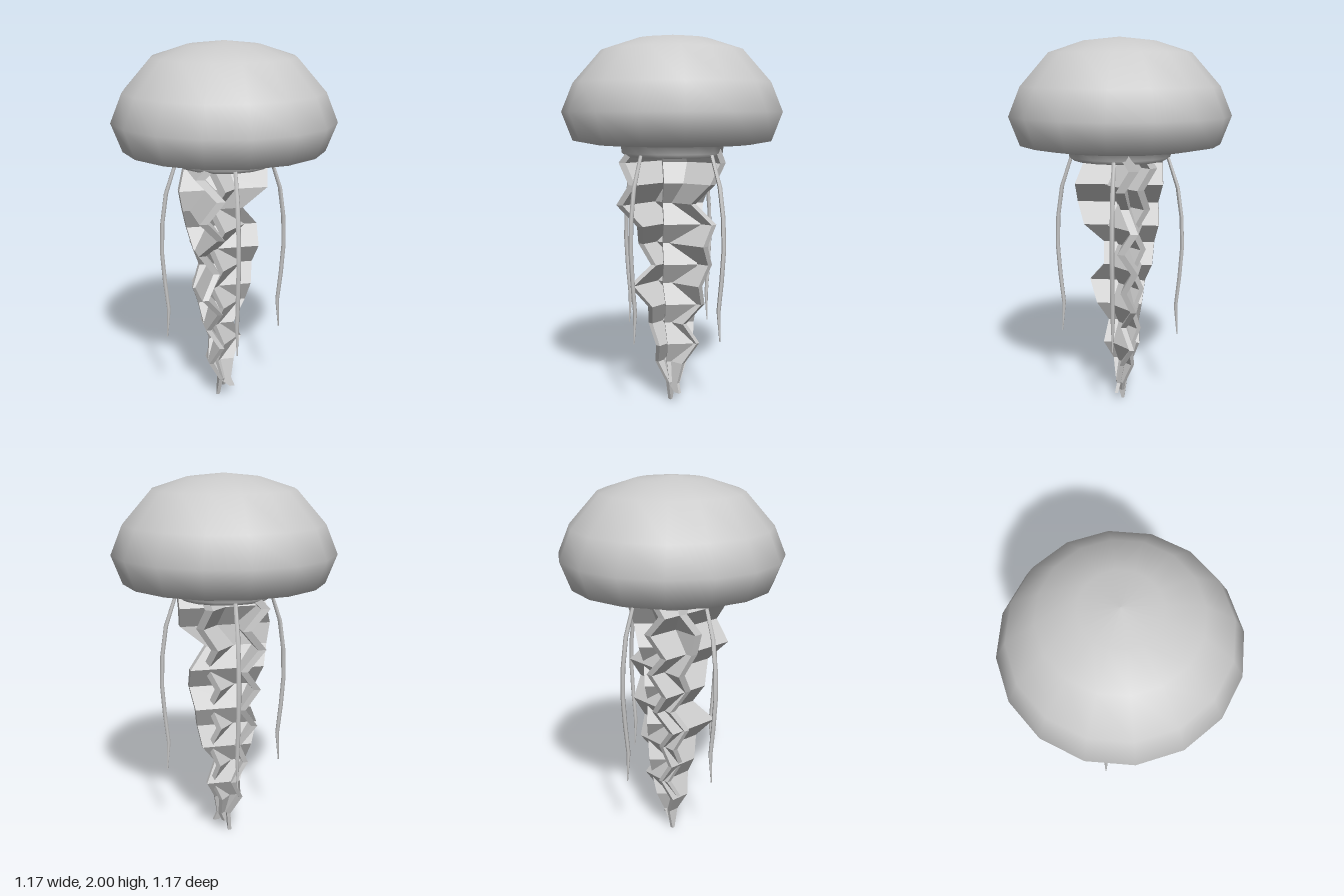
import * as THREE from 'three';

const smooth = new THREE.MeshStandardMaterial({ color: 0xcccccc, side: THREE.DoubleSide });
const faceted = new THREE.MeshStandardMaterial({ color: 0xcccccc, flatShading: true, side: THREE.DoubleSide });

function part(name, geometry, material) {
  const mesh = new THREE.Mesh(geometry, material);
  mesh.name = name;
  return mesh;
}

// Thin tentacle: a column bowed outward along +x, pointed at its lower end
function tentacleGeometry() {
  const bow = [0.258, 0.312, 0.335, 0.34, 0.328, 0.31, 0.32];
  const width = [0.01, 0.012, 0.012, 0.012, 0.012, 0.011, 0.003];
  const top = 1.38, length = 0.98, steps = bow.length - 1;
  const g = new THREE.CylinderGeometry(1, 1, length, 6, steps);
  g.translate(0, top - length / 2, 0);
  const p = g.attributes.position;
  for (let i = 0; i < p.count; i++) {
    const step = Math.round((top - p.getY(i)) / length * steps);
    p.setX(i, p.getX(i) * width[step] + bow[step]);
    p.setZ(i, p.getZ(i) * width[step]);
  }
  g.computeVertexNormals();
  return g;
}

// Zigzag ribbon: one rectangular section per level, spanning from -minus to
// +plus along x and pushed sideways along z by sway
function ribbonGeometry({ plus, minus, sway, tip }) {
  const n = plus.length, pos = [], idx = [];
  for (let i = 0; i < n; i++) {
    const t = i / (n - 1);
    const y = Math.max(tip, 1.444 * (1 - t));
    const half = 0.026 * (1 - 0.65 * t);
    for (const [x, side] of [[-minus[i], -1], [plus[i], -1], [plus[i], 1], [-minus[i], 1]]) {
      pos.push(x, y, sway[i] + side * half);
    }
  }
  for (let i = 0; i < n - 1; i++) {
    for (let k = 0; k < 4; k++) {
      const a = i * 4 + k, b = i * 4 + (k + 1) % 4;
      idx.push(a, b, a + 4, b, b + 4, a + 4);
    }
  }
  const e = (n - 1) * 4;
  idx.push(0, 2, 1, 0, 3, 2, e, e + 1, e + 2, e, e + 2, e + 3);
  const g = new THREE.BufferGeometry();
  g.setAttribute('position', new THREE.Float32BufferAttribute(pos, 3));
  g.setIndex(idx);
  g.computeVertexNormals();
  return g;
}

export function createModel() {
  const model = new THREE.Group();
  model.name = 'jellyfish';

  // Bell, underside and collar in one profile
  const profile = [
    [0, 1.4], [0.15, 1.385], [0.245, 1.365], [0.272, 1.385], [0.278, 1.44], [0.42, 1.43],
    [0.53, 1.45], [0.587, 1.6], [0.525, 1.75], [0.375, 1.92], [0.19, 1.98], [0, 2],
  ];
  model.add(part('bell', new THREE.LatheGeometry(
    profile.map(([r, y]) => new THREE.Vector2(r, y)), 16), smooth));

  // Four thin tentacles
  const tentacles = new THREE.Group();
  tentacles.name = 'tentacles';
  const thin = tentacleGeometry();
  for (let i = 0; i < 4; i++) {
    const t = part('tentacle', thin, smooth);
    t.rotation.y = i * Math.PI / 2;
    tentacles.add(t);
  }
  model.add(tentacles);

  // Crossing frilled arms: side to side, front to back, and a narrow diagonal one
  const arms = [
    { name: 'sideArm', turn: 0, tip: 0.06,
      plus: [0.26, 0.26, 0.245, 0.11, 0.205, 0.2, 0.18, 0.16, 0.14, 0.06, 0.115, 0.06, 0.04, 0.06],
      minus: [0.18, 0.2, 0.24, 0.22, 0.19, 0.165, 0.12, 0.17, 0.13, 0.11, 0.07, 0.09, 0.03, -0.03],
      sway: [-0.03, -0.1, -0.03, -0.04, -0.1, -0.03, -0.1, -0.04, -0.09, -0.03, -0.08, -0.02, 0, 0.01] },
    { name: 'frontBackArm', turn: -Math.PI / 2, tip: 0,
      plus: [0.215, 0.215, 0.25, 0.25, 0.2, 0.1, 0.09, 0.18, 0.13, 0.07, 0.09, 0.04, 0.02, -0.01],
      minus: [0.22, 0.22, 0.23, 0.2, 0.21, 0.18, 0.175, 0.13, 0.12, 0.1, 0.11, 0.07, 0.04, 0.025],
      sway: [0.06, 0.17, 0.07, 0.16, 0.06, 0.14, 0.06, 0.14, 0.05, 0.1, 0.03, 0.08, 0.02, 0.03] },
    { name: 'diagonalArm', turn: Math.PI / 4, tip: 0.06,
      plus: [0.2, 0.22, 0.2, 0.17, 0.15, 0.14, 0.13, 0.13, 0.13, 0.12, 0.11, 0.08, 0.04, 0.02],
      minus: [0.05, 0.05, 0.05, 0.05, 0.05, 0.05, 0.05, 0.05, 0.04, 0.04, 0.03, 0.03, 0.02, 0],
      sway: [0.02, -0.05, 0.02, -0.05, 0.02, -0.05, 0.01, -0.05, 0.01, -0.04, 0.01, -0.03, 0, -0.01] },
  ];
  for (const spec of arms) {
    const arm = part(spec.name, ribbonGeometry(spec), faceted);
    arm.rotation.y = spec.turn;
    model.add(arm);
  }
  return model;
}
